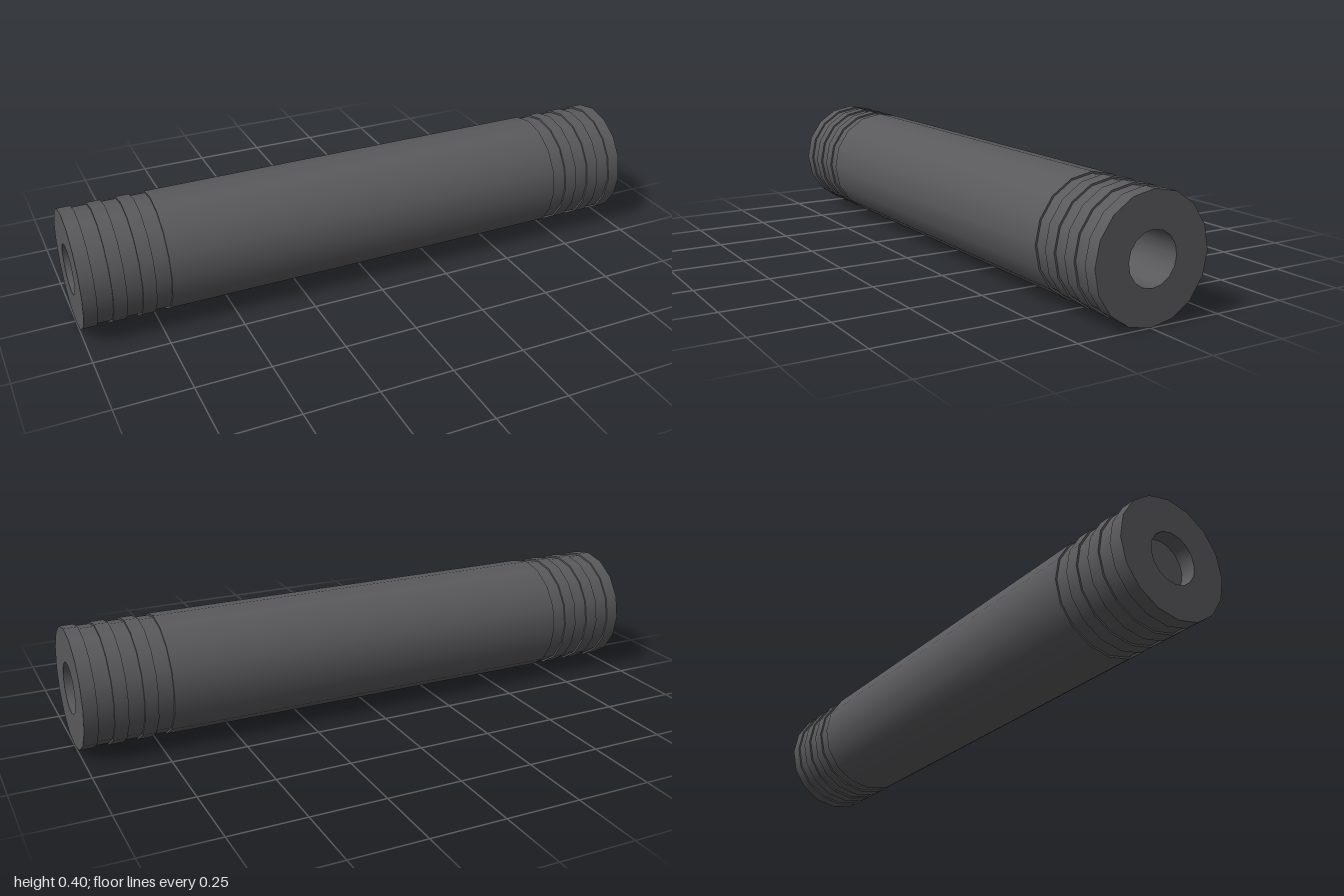
import * as THREE from 'three';
import { mergeGeometries } from 'three/addons/utils/BufferGeometryUtils.js';

const SIDES = 16, RADIUS = 0.2, GROOVE = 0.194, BORE = 0.085, AXIS_Y = 0.2;

// Turns a profile of [radius, x] points around the x axis, one sharp-edged band per segment
function turned(points) {
  const bands = [];
  for (let i = 0; i < points.length - 1; i++) {
    const pair = [points[i], points[i + 1]].map(([r, x]) => new THREE.Vector2(r, x));
    bands.push(new THREE.LatheGeometry(pair, SIDES));
  }
  return mergeGeometries(bands).rotateZ(-Math.PI / 2);
}

export function createModel() {
  const model = new THREE.Group();
  model.name = 'groovedTube';
  const darkGrey = new THREE.MeshStandardMaterial({ color: 0x5a5a5d });
  darkGrey.name = 'darkGrey';
  darkGrey.side = THREE.DoubleSide;

  const add = (name, geometry) => {
    const mesh = new THREE.Mesh(geometry, darkGrey);
    mesh.name = name;
    mesh.position.y = AXIS_Y;
    model.add(mesh);
    return mesh;
  };

  // Outer shell with three shallow grooves near each end
  const grooves = [[0.715, 0.765], [0.81, 0.86], [0.905, 0.955]];
  const all = [...grooves.map(([a, b]) => [-b, -a]).reverse(), ...grooves];
  const shell = [[RADIUS, -1]];
  for (const [a, b] of all) shell.push([RADIUS, a], [GROOVE, a], [GROOVE, b], [RADIUS, b]);
  shell.push([RADIUS, 1]);
  add('outerShell', turned(shell));

  // Ring-shaped end faces and the bore between them
  add('leftEndFace', turned([[RADIUS, 1], [BORE, 1]]));
  add('rightEndFace', turned([[BORE, -1], [RADIUS, -1]]));
  add('boreWall', turned([[BORE, 1], [BORE, -1]]));

  // Disc closing the bore just inside the right end
  const plug = add('borePlug', new THREE.CircleGeometry(BORE, SIDES).rotateY(Math.PI / 2));
  plug.position.x = -0.95;

  return model;
}
